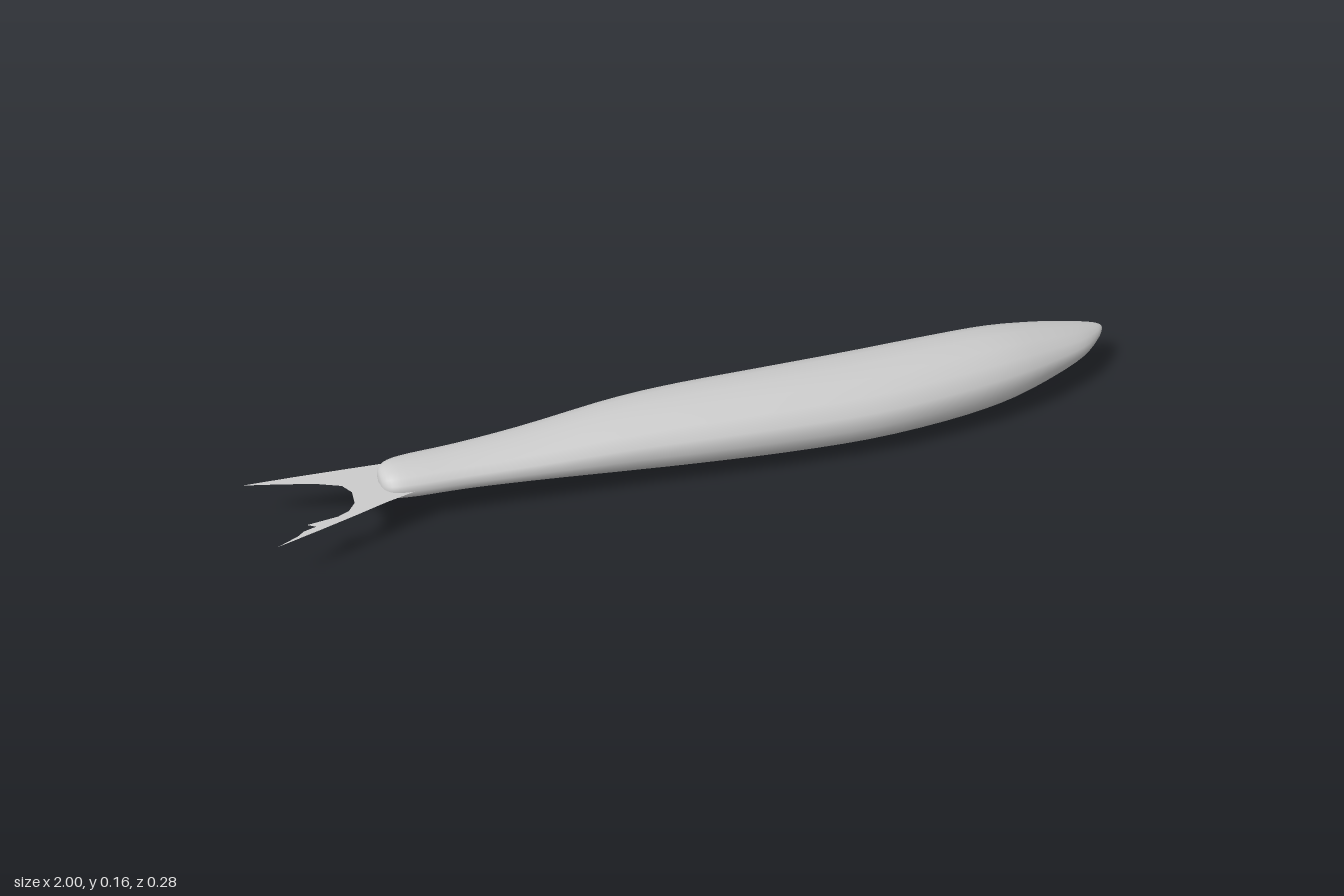
import * as THREE from 'three';

const MID_Y = 0.08;
const SIDES = 16;
const STEPS = 52;

// Body stations from tail to snout: x, back edge z, front edge z, half height
const stations = [
  [-0.73, -0.026, -0.024, 0], [-0.725, -0.06, 0.008, 0.02], [-0.705, -0.081, 0.029, 0.031],
  [-0.66, -0.09, 0.038, 0.035], [-0.55, -0.095, 0.046, 0.037], [-0.4, -0.11, 0.063, 0.045],
  [-0.2, -0.137, 0.085, 0.062], [-0.05, -0.144, 0.104, 0.07], [0.15, -0.139, 0.126, 0.076],
  [0.35, -0.137, 0.138, 0.078], [0.55, -0.137, 0.122, 0.078], [0.7, -0.138, 0.093, 0.071],
  [0.82, -0.132, 0.051, 0.052], [0.91, -0.122, 0.008, 0.032], [0.97, -0.109, -0.042, 0.015],
  [0.995, -0.097, -0.073, 0.006], [1, -0.086, -0.084, 0],
];

// Closed, smooth body lofted from elliptical rings
function bodyGeometry() {
  const edges = new THREE.CatmullRomCurve3(
    stations.map(([x, back, front]) => new THREE.Vector3(x, back, front)), false, 'catmullrom');
  const heights = new THREE.CatmullRomCurve3(
    stations.map(([x, , , h]) => new THREE.Vector3(x, h, 0)), false, 'catmullrom');
  const pos = [], index = [];
  for (let i = 1; i < STEPS; i++) {
    const e = edges.getPoint(i / STEPS), h = heights.getPoint(i / STEPS).y;
    const centre = (e.y + e.z) / 2, half = (e.z - e.y) / 2;
    for (let j = 0; j < SIDES; j++) {
      const a = (j / SIDES) * Math.PI * 2;
      pos.push(e.x, MID_Y + h * Math.sin(a), centre + half * Math.cos(a));
    }
  }
  const rings = STEPS - 1, rear = rings * SIDES, snout = rear + 1;
  pos.push(-0.73, MID_Y, -0.025, 1, MID_Y, -0.085);
  for (let j = 0; j < SIDES; j++) {
    const k = (j + 1) % SIDES, last = (rings - 1) * SIDES;
    for (let i = 0; i < rings - 1; i++) {
      const a = i * SIDES, b = a + SIDES;
      index.push(a + j, b + j, b + k, a + j, b + k, a + k);
    }
    index.push(rear, j, k, last + j, snout, last + k);
  }
  const g = new THREE.BufferGeometry();
  g.setAttribute('position', new THREE.Float32BufferAttribute(pos, 3));
  g.setIndex(index);
  g.computeVertexNormals();
  return g;
}

// Flat forked tail with a ragged front lobe, drawn as x and z
function tailGeometry() {
  const outline = [
    [-0.66, -0.085], [-0.78, -0.094], [-0.9, -0.102], [-1, -0.107], [-0.92, -0.083],
    [-0.853, -0.06], [-0.805, -0.035], [-0.79, -0.005], [-0.793, 0.035], [-0.81, 0.06],
    [-0.835, 0.072], [-0.9, 0.08], [-0.884, 0.092], [-0.91, 0.1], [-0.925, 0.113],
    [-0.97, 0.136], [-0.88, 0.107], [-0.8, 0.08], [-0.73, 0.055], [-0.66, 0.035],
  ];
  const shape = new THREE.Shape(outline.map(([x, z]) => new THREE.Vector2(x, z)));
  return new THREE.ShapeGeometry(shape).rotateX(Math.PI / 2).translate(0, MID_Y, 0);
}

export function createModel() {
  const grey = new THREE.MeshStandardMaterial({ color: 0xcccccc, side: THREE.DoubleSide });
  grey.name = 'light grey';
  const model = new THREE.Group();
  model.name = 'fish';
  const add = (name, geometry) => {
    const mesh = new THREE.Mesh(geometry, grey);
    mesh.name = name;
    model.add(mesh);
  };
  add('body', bodyGeometry());
  add('tailFin', tailGeometry());
  return model;
}
